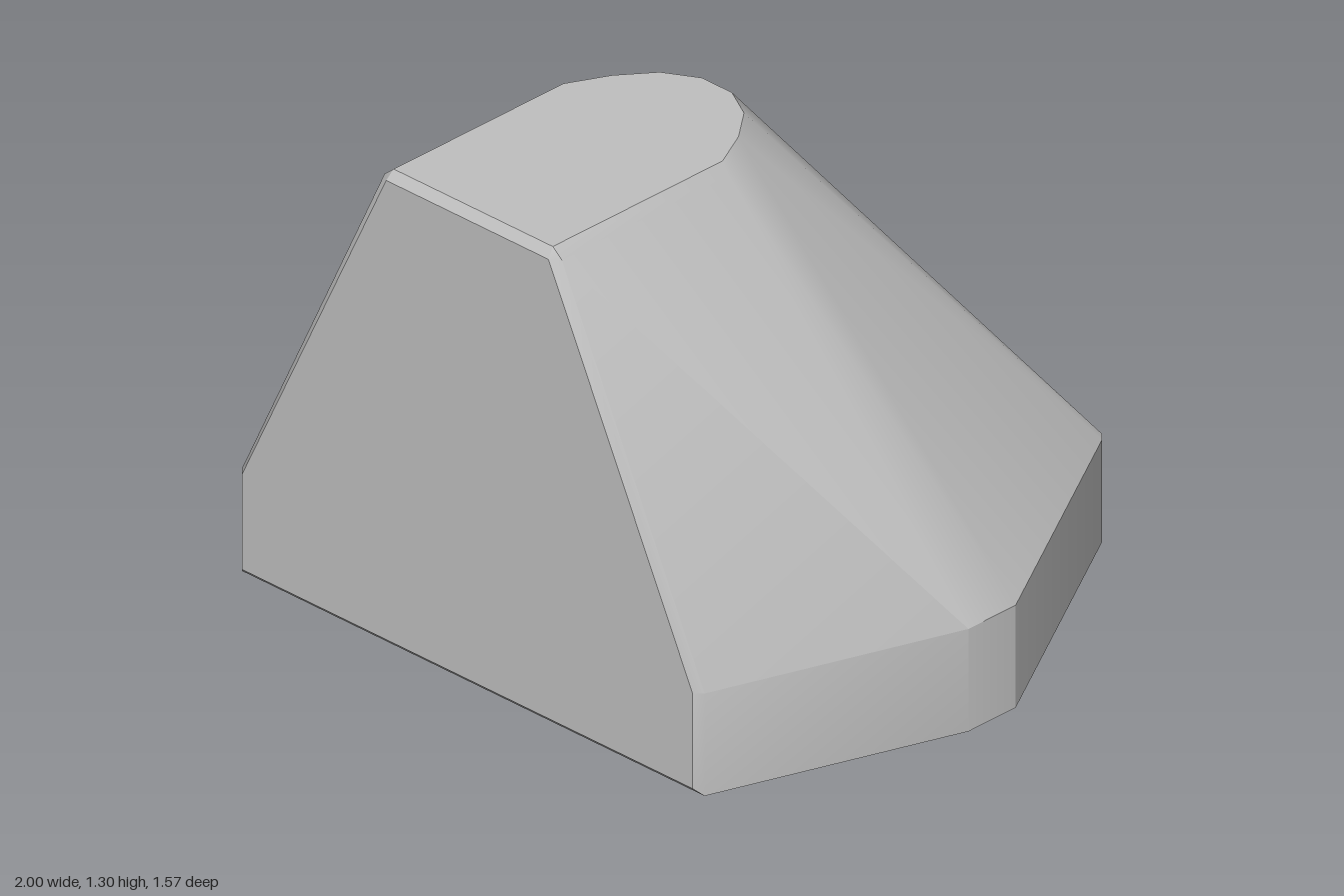
import * as THREE from 'three';
import { ConvexGeometry } from 'three/addons/geometries/ConvexGeometry.js';
import { toCreasedNormals } from 'three/addons/utils/BufferGeometryUtils.js';

// Right half of each cross-section as [x, z]; corners have a small bevel.
const baseOutline = [
  [0.75, 0.785], [0.77, 0.765], [1, 0.105], [1, -0.055], [0.59, -0.765], [0.57, -0.785],
];
const topOutline = [
  [0.265, 0.765], [0.265, 0.19], [0.21, 0.08], [0.14, -0.01], [0.05, -0.06],
];

export function createModel() {
  const group = new THREE.Group();
  group.name = 'taperedBlock';
  const grey = new THREE.MeshStandardMaterial({ color: 0xbfbfbf });
  grey.name = 'light grey';

  const points = [];
  const addMirrored = (x, y, z) => {
    for (const side of [1, -1]) points.push(new THREE.Vector3(side * x, y, z));
  };

  // Upright base band, with a bevelled bottom front edge
  baseOutline.forEach(([x, z], i) => {
    addMirrored(x, 0.28, z);
    if (i === 0) {
      addMirrored(x, 0.02, z);
      addMirrored(x, 0, z - 0.02);
    } else {
      addMirrored(x, 0, z);
    }
  });

  // Flat top, rounded towards the back
  topOutline.forEach(([x, z]) => addMirrored(x, 1.3, z));

  // Bevels along the front and sides of the top
  addMirrored(0.27, 1.275, 0.785);
  addMirrored(0.295, 1.275, 0.765);
  addMirrored(0.295, 1.275, 0.2);

  // Sloping sides are the convex skin between the base and the top
  const body = new THREE.Mesh(toCreasedNormals(new ConvexGeometry(points), 0.5), grey);
  body.name = 'body';
  group.add(body);
  return group;
}
